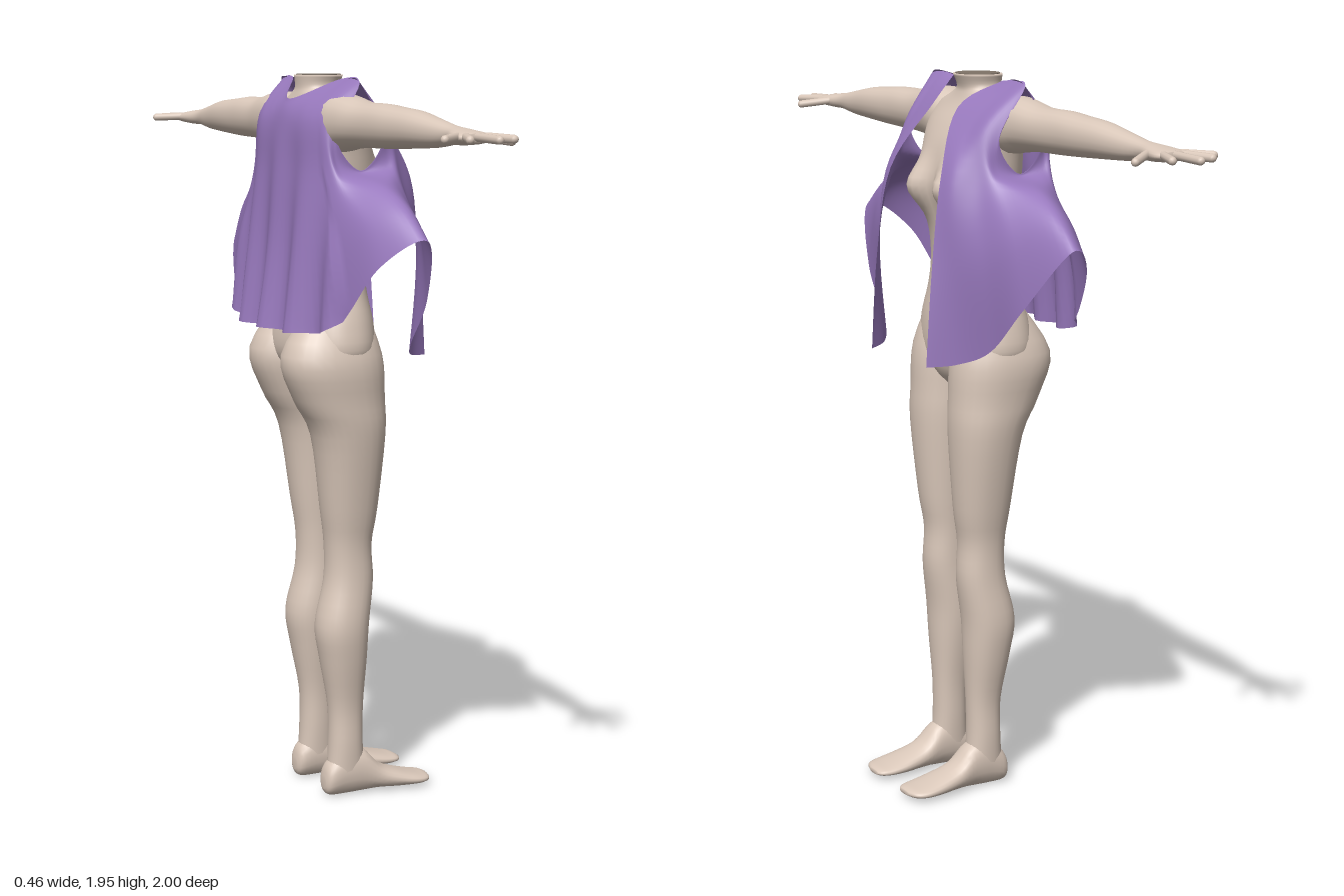
import * as THREE from 'three';

const skin = new THREE.MeshStandardMaterial({ color: 0xdac8ba });
skin.name = 'skin';
const cloth = new THREE.MeshStandardMaterial({ color: 0x9879bd, side: THREE.DoubleSide });
cloth.name = 'purple cloth';
const cut = new THREE.MeshStandardMaterial({ color: 0x7f7367 });
cut.name = 'neck hollow';

function add(parent, name, geometry, material) {
  const m = new THREE.Mesh(geometry, material);
  m.name = name;
  parent.add(m);
  return m;
}

// Resample rows of numbers along a Catmull-Rom spline
function smooth(rows, k) {
  const out = [];
  const at = i => rows[Math.min(rows.length - 1, Math.max(0, i))];
  const spline = (a, b, c, d, t) => {
    const cubic = 3 * (b - c) + d - a;
    const square = 2 * a - 5 * b + 4 * c - d;
    return b + 0.5 * t * (c - a + t * (square + t * cubic));
  };
  for (let i = 0; i < rows.length - 1; i++) {
    for (let j = 0; j < k; j++) {
      out.push(rows[i].map((b, n) => spline(at(i - 1)[n], b, at(i + 1)[n], at(i + 2)[n], j / k)));
    }
  }
  out.push(rows[rows.length - 1]);
  return out;
}

function build(pos, index) {
  const g = new THREE.BufferGeometry();
  g.setAttribute('position', new THREE.Float32BufferAttribute(pos, 3));
  g.setIndex(index);
  g.computeVertexNormals();
  return g;
}

// Capped body of oval sections; row = [position on axis, aMin, aMax, bMin, bMax]
// axis y: a = x, b = z; axis z: a = x, b = y; axis x: a = y, b = z
function loft(rows, axis, side = 1, n = 28) {
  const pos = [], index = [];
  const put = (p, a, b) => {
    if (axis === 'y') pos.push(a, p, b * side);
    else if (axis === 'z') pos.push(a, b, p * side);
    else pos.push(p, a, b * side);
  };
  const soft = v => Math.sign(v) * Math.abs(v) ** 0.9;
  const all = smooth(rows, 4);
  for (const [p, a0, a1, b0, b1] of all) {
    for (let i = 0; i < n; i++) {
      const t = i / n * Math.PI * 2;
      put(p, (a0 + a1) / 2 + (a1 - a0) / 2 * soft(Math.cos(t)),
        (b0 + b1) / 2 + (b1 - b0) / 2 * soft(Math.sin(t)));
    }
  }
  for (const r of [all[0], all[all.length - 1]]) put(r[0], (r[1] + r[2]) / 2, (r[3] + r[4]) / 2);
  const last = (all.length - 1) * n, c = all.length * n;
  for (let i = 0; i < n; i++) {
    const j = (i + 1) % n;
    for (let r = 0; r < last; r += n) index.push(r + i, r + n + i, r + j, r + j, r + n + i, r + n + j);
    index.push(c, i, j, c + 1, last + j, last + i);
  }
  // Turn the faces outward if the enclosed volume is negative
  let volume = 0;
  const v = i => new THREE.Vector3().fromArray(pos, i * 3);
  for (let i = 0; i < index.length; i += 3) {
    volume += v(index[i]).dot(v(index[i + 1]).cross(v(index[i + 2])));
  }
  if (volume < 0) index.reverse();
  return build(pos, index);
}

function rod(parent, name, from, to, r) {
  const a = new THREE.Vector3(...from), b = new THREE.Vector3(...to), d = b.clone().sub(a);
  const m = add(parent, name, new THREE.CapsuleGeometry(r, d.length() - 2 * r, 4, 10), skin);
  m.position.copy(a).add(b).multiplyScalar(0.5);
  m.quaternion.setFromUnitVectors(new THREE.Vector3(0, 1, 0), d.normalize());
}

function makeSide(s) {
  const g = new THREE.Group();
  g.name = s > 0 ? 'limbsPositiveZ' : 'limbsNegativeZ';
  add(g, 'leg', loft([
    [1.36, -0.11, 0.03, 0.05, 0.14], [1.22, -0.2, 0.077, 0.001, 0.205], [1.1, -0.165, 0.085, 0.002, 0.204],
    [1.0, -0.113, 0.086, 0.01, 0.198], [0.8, -0.085, 0.07, 0.024, 0.168], [0.7, -0.072, 0.056, 0.03, 0.153],
    [0.6, -0.074, 0.06, 0.03, 0.155], [0.48, -0.1, 0.045, 0.026, 0.167], [0.38, -0.087, 0.04, 0.033, 0.158],
    [0.25, -0.064, 0.033, 0.047, 0.138], [0.14, -0.063, 0.032, 0.05, 0.138], [0.05, -0.07, 0.04, 0.055, 0.135],
  ], 'y', s), skin);
  add(g, 'foot', loft([
    [-0.083, 0.02, 0.05, 0.08, 0.11], [-0.07, 0.002, 0.09, 0.06, 0.13], [-0.02, 0, 0.13, 0.054, 0.136],
    [0.03, 0.002, 0.125, 0.05, 0.14], [0.08, 0.005, 0.075, 0.046, 0.146], [0.14, 0.004, 0.05, 0.04, 0.154],
    [0.19, 0.006, 0.036, 0.04, 0.156], [0.22, 0.009, 0.03, 0.048, 0.142], [0.233, 0.013, 0.024, 0.065, 0.11],
  ], 'x', s, 20), skin);
  add(g, 'arm', loft([
    [0.1, -0.12, 0, 1.76, 1.88], [0.17, -0.135, 0.012, 1.755, 1.905], [0.24, -0.13, 0.005, 1.765, 1.9],
    [0.32, -0.122, 0, 1.772, 1.887], [0.42, -0.118, -0.006, 1.774, 1.886], [0.5, -0.115, -0.008, 1.777, 1.88],
    [0.6, -0.108, -0.014, 1.782, 1.872], [0.7, -0.095, -0.025, 1.788, 1.855], [0.77, -0.087, -0.032, 1.797, 1.843],
    [0.82, -0.1, -0.022, 1.798, 1.838], [0.87, -0.108, -0.014, 1.802, 1.832], [0.89, -0.095, -0.025, 1.808, 1.828],
  ], 'z', s, 20), skin);
  // Spread fingers from little finger to thumb
  const fingers = [
    [-0.09, 0.85, -0.165, 0.914], [-0.084, 0.87, -0.122, 0.965], [-0.062, 0.87, -0.06, 1.0],
    [-0.036, 0.87, 0, 0.967], [-0.036, 0.815, 0.048, 0.877],
  ];
  fingers.forEach(([x0, z0, x1, z1], i) => rod(g, i === 4 ? 'thumb' : 'finger',
    [x0, 1.82, s * z0], [x1, i === 4 ? 1.806 : 1.816, s * z1], 0.0105));
  return g;
}

// Torso and neck: height, back, front, half width; the chest is swelled by a rule
function makeTorso() {
  const rows = [
    [1.12, -0.09, 0.03, 0.05], [1.16, -0.13, 0.062, 0.14], [1.22, -0.165, 0.077, 0.2], [1.3, -0.16, 0.075, 0.192],
    [1.38, -0.13, 0.06, 0.165], [1.45, -0.12, 0.055, 0.15], [1.52, -0.12, 0.06, 0.148], [1.6, -0.13, 0.07, 0.16],
    [1.68, -0.14, 0.08, 0.17], [1.76, -0.14, 0.07, 0.18], [1.82, -0.135, 0.045, 0.19], [1.87, -0.125, 0.015, 0.165],
    [1.9, -0.115, 0.002, 0.1], [1.92, -0.11, 0, 0.064], [1.952, -0.112, 0.012, 0.069],
  ];
  const g = loft(rows.map(([y, b, f, w]) => [y, b, f, -w, w]), 'y', 1, 64);
  const p = g.attributes.position;
  for (let i = 0; i < p.count; i++) {
    const up = (p.getY(i) - 1.655) / 0.062, out = (Math.abs(p.getZ(i)) - 0.075) / 0.05;
    if (p.getX(i) > 0) p.setX(i, p.getX(i) + 0.055 * Math.exp(-up * up - out * out));
  }
  g.computeVertexNormals();
  return g;
}

// Open vest: columns run from shoulder or armhole down to the hem, front edge to centre back
function makeVest() {
  const half = [
    [-0.05, 1.94, 0.125, 0.05, 1.87, 0.065, 0.14, 1.70, 0.135, 0.175, 1.47, 0.15, 0.193, 1.21, 0.15],
    [-0.05, 1.945, 0.19, 0.055, 1.84, 0.15, 0.13, 1.69, 0.18, 0.14, 1.48, 0.2, 0.125, 1.22, 0.2],
    [-0.045, 1.93, 0.245, 0.05, 1.82, 0.21, 0.08, 1.70, 0.225, 0.1, 1.5, 0.28, 0.08, 1.265, 0.29],
    [0.025, 1.80, 0.235, 0.035, 1.73, 0.235, 0.045, 1.68, 0.28, 0.06, 1.56, 0.37, 0.06, 1.39, 0.415],
    [-0.04, 1.71, 0.235, -0.04, 1.70, 0.25, -0.03, 1.675, 0.35, -0.015, 1.625, 0.45, -0.005, 1.55, 0.54],
    [-0.11, 1.80, 0.235, -0.11, 1.73, 0.235, -0.105, 1.67, 0.29, -0.1, 1.58, 0.4, -0.1, 1.48, 0.46],
    [-0.05, 1.93, 0.245, -0.13, 1.84, 0.21, -0.14, 1.7, 0.22, -0.15, 1.5, 0.28, -0.15, 1.32, 0.32],
    [-0.055, 1.943, 0.15, -0.147, 1.85, 0.12, -0.163, 1.7, 0.12, -0.18, 1.5, 0.14, -0.2, 1.29, 0.15],
    [-0.135, 1.89, 0, -0.155, 1.84, 0, -0.17, 1.7, 0, -0.185, 1.5, 0, -0.212, 1.29, 0],
  ];
  const mirrored = half.slice(0, -1).reverse().map(c => c.map((v, i) => (i % 3 === 2 ? -v : v)));
  const pos = [], index = [];
  const columns = smooth([...half, ...mirrored], 8).map(c =>
    smooth([0, 3, 6, 9, 12].map(i => c.slice(i, i + 3)), 6));
  const n = columns[0].length;
  columns.forEach((c, i) => {
    c.forEach(([x, y, z], j) => {
      // Folds deepen toward the hem of the back
      const depth = x < -0.14 ? 0.02 * (j / (n - 1)) ** 2 : 0;
      pos.push(x - depth * Math.cos(z * 42), y, z);
      if (i && j) {
        const d = i * n + j, b = d - n;
        index.push(b - 1, b, d - 1, d - 1, b, d);
      }
    });
  });
  return build(pos, index);
}

export function createModel() {
  const model = new THREE.Group();
  model.name = 'figureInOpenVest';
  add(model, 'torso', makeTorso(), skin);
  const hollow = add(model, 'neckHollow', new THREE.CylinderGeometry(1, 1, 0.004, 28), cut);
  hollow.position.set(-0.05, 1.952, 0);
  hollow.scale.set(0.058, 1, 0.064);
  model.add(makeSide(1), makeSide(-1));
  add(model, 'vest', makeVest(), cloth);
  return model;
}
